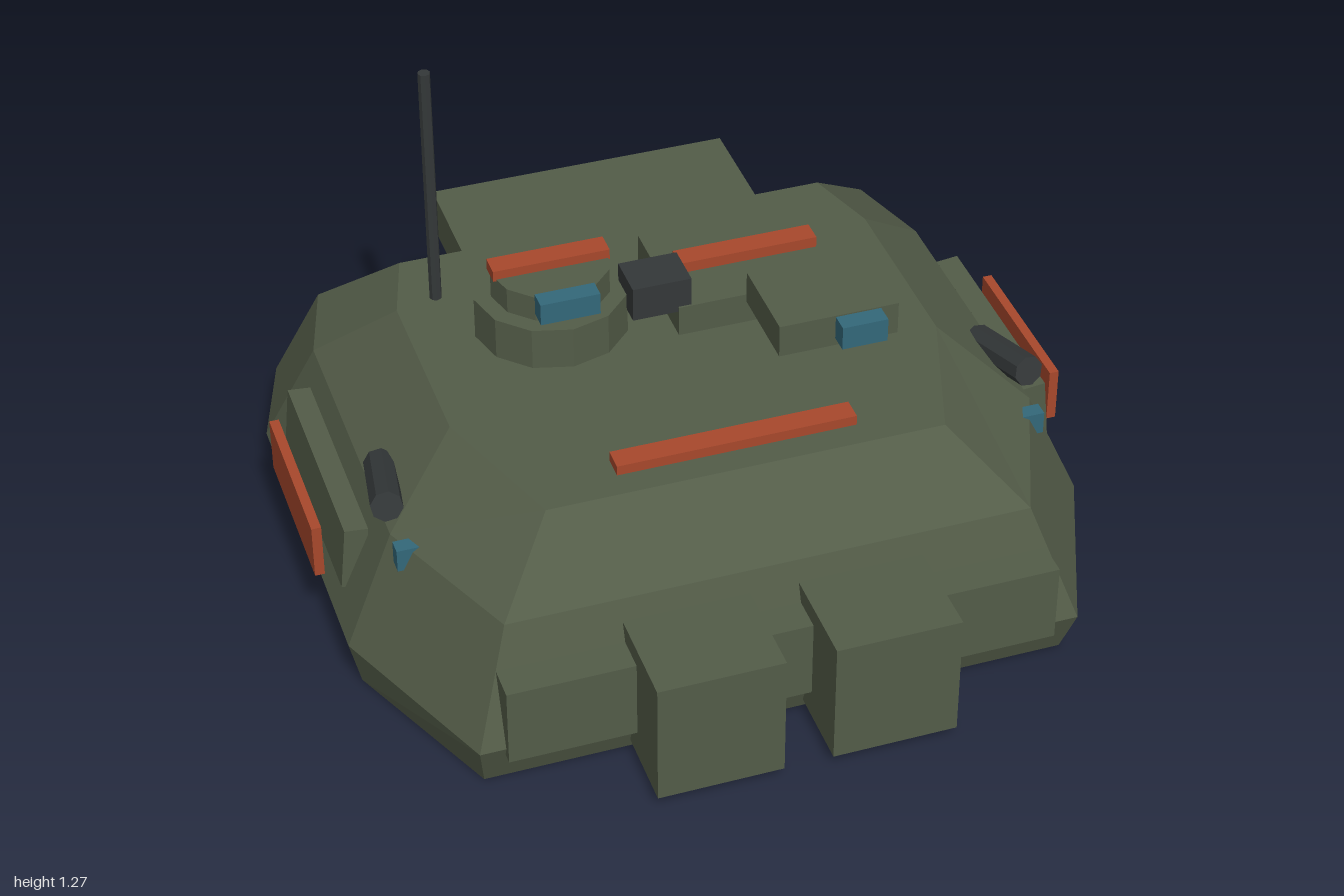
import * as THREE from 'three';

function material(name, color) {
  const m = new THREE.MeshStandardMaterial({ color, flatShading: true });
  m.name = name;
  return m;
}

// Eight-cornered outline, mirrored left to right, running front to back on +x
function ring(y, frontX, frontZ, sideX, sideFrontZ, sideBackZ, backX, backZ) {
  const half = [[frontX, frontZ], [sideX, sideFrontZ], [sideX, sideBackZ], [backX, backZ]];
  const other = half.map(([x, z]) => [-x, z]).reverse();
  return [...half, ...other].map(([x, z]) => [x, y, z]);
}

// Closed solid skinned over a stack of outlines
function loft(rings) {
  const pos = [];
  const tri = (a, b, c) => pos.push(...a, ...b, ...c);
  const n = rings[0].length;
  for (let r = 0; r < rings.length - 1; r++) {
    const lo = rings[r], hi = rings[r + 1];
    for (let i = 0; i < n; i++) {
      const j = (i + 1) % n;
      tri(lo[i], lo[j], hi[j]);
      tri(lo[i], hi[j], hi[i]);
    }
  }
  const bottom = rings[0], top = rings[rings.length - 1];
  for (let i = 1; i < n - 1; i++) {
    tri(bottom[0], bottom[i + 1], bottom[i]);
    tri(top[0], top[i], top[i + 1]);
  }
  const g = new THREE.BufferGeometry();
  g.setAttribute('position', new THREE.Float32BufferAttribute(pos, 3));
  g.computeVertexNormals();
  return g;
}

export function createModel() {
  const model = new THREE.Group();
  model.name = 'turret';
  const green = material('olive green', 0x535c48);
  const dark = material('dark metal', 0x343839);
  const orange = material('orange panel', 0xa8482c);
  const blue = material('blue glass', 0x33687a);

  const add = (name, geometry, mat) => {
    const mesh = new THREE.Mesh(geometry, mat);
    mesh.name = name;
    model.add(mesh);
    return mesh;
  };
  // Box given by its extents along each axis
  const box = (name, mat, x0, x1, y0, y1, z0, z1) => {
    const mesh = add(name, new THREE.BoxGeometry(x1 - x0, y1 - y0, z1 - z0), mat);
    mesh.position.set((x0 + x1) / 2, (y0 + y1) / 2, (z0 + z1) / 2);
    return mesh;
  };
  // Cylinder between two points
  const rod = (name, mat, a, b, radius, sides) => {
    const p = new THREE.Vector3(...a), q = new THREE.Vector3(...b);
    const mesh = add(name, new THREE.CylinderGeometry(radius, radius, p.distanceTo(q), sides), mat);
    mesh.position.copy(p).lerp(q, 0.5);
    mesh.quaternion.setFromUnitVectors(new THREE.Vector3(0, 1, 0), q.sub(p).normalize());
    return mesh;
  };

  // Faceted armour shell
  add('shell', loft([
    ring(0, 0.75, 0.71, 0.94, 0.275, -0.63, 0.82, -0.93),
    ring(0.13, 0.77, 0.76, 0.97, 0.285, -0.6, 0.88, -0.87),
    ring(0.425, 0.67, 0.655, 0.84, 0.25, -0.53, 0.77, -0.765),
    ring(0.59, 0.51, 0.475, 0.64, 0.095, -0.41, 0.58, -0.61),
  ]), green);

  // Commander cupola
  rod('cupolaBase', green, [-0.28, 0.59, -0.24], [-0.28, 0.705, -0.24], 0.2, 12);
  rod('cupolaTop', green, [-0.28, 0.7, -0.24], [-0.28, 0.775, -0.24], 0.155, 12);
  box('cupolaPanel', orange, -0.435, -0.13, 0.77, 0.8, -0.27, -0.21);
  box('cupolaWindow', blue, -0.36, -0.205, 0.73, 0.79, -0.1, -0.05);
  box('sensorBox', dark, -0.11, 0.045, 0.66, 0.755, -0.205, -0.085);

  // Roof hatch and sight
  box('hatchBlock', green, 0.01, 0.48, 0.585, 0.675, -0.415, -0.08);
  box('hatchPanel', orange, 0.06, 0.43, 0.675, 0.705, -0.28, -0.22);
  box('sightHousing', green, 0.19, 0.505, 0.653, 0.743, -0.08, 0.163);
  box('sightFoot', green, 0.33, 0.48, 0.63, 0.655, 0.02, 0.13);
  box('sightGlass', blue, 0.335, 0.455, 0.68, 0.745, 0.17, 0.22);
  box('roofPanel', orange, -0.31, 0.305, 0.59, 0.617, 0.345, 0.405);
  rod('antenna', dark, [-0.53, 0.58, -0.435], [-0.53, 1.27, -0.435], 0.016, 8);

  // Front boxes and the rack behind them
  box('frontRack', green, -0.705, 0.7, 0.105, 0.32, 0.6, 0.78);
  box('frontBoxRight', green, -0.385, -0.065, 0.03, 0.37, 0.67, 0.935);
  box('frontBoxLeft', green, 0.06, 0.38, 0.03, 0.37, 0.67, 0.935);

  // Rear bin and roll
  box('rearBin', green, -0.41, 0.405, 0.465, 0.585, -0.905, -0.615);
  rod('rearRoll', dark, [-0.375, 0.335, -0.85], [0.37, 0.335, -0.85], 0.09, 12);

  // Mirrored side fittings
  for (const s of [1, -1]) {
    const side = s > 0 ? 'Left' : 'Right';
    const pair = (name, mat, x0, x1, ...rest) =>
      box(name + side, mat, Math.min(s * x0, s * x1), Math.max(s * x0, s * x1), ...rest);
    pair('sideBox', green, 0.88, 0.94, 0.198, 0.373, -0.45, 0.148).rotation.z = s * 0.1;
    pair('sidePanel', orange, 0.975, 1, 0.2, 0.35, -0.37, 0.083);
    pair('sideLight', blue, 0.785, 0.845, 0.375, 0.437, 0.293, 0.333);
    rod('launcher' + side, dark, [s * 0.84, 0.5, 0.235], [s * 0.8, 0.445, 0.0], 0.041, 8);
  }
  return model;
}
